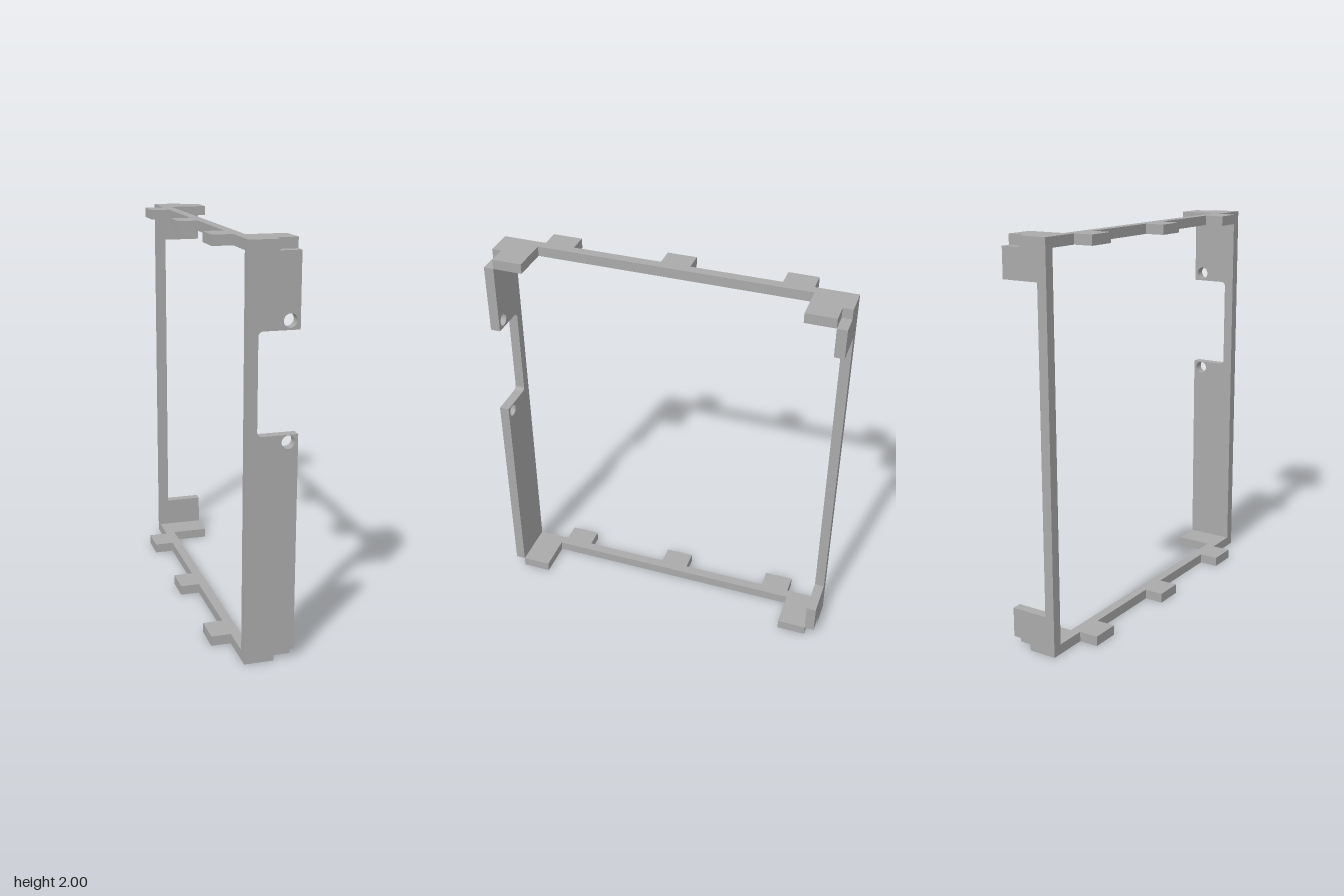
import * as THREE from 'three';

const T = 0.05;                       // sheet thickness
const X0 = -0.075, X1 = 0.17;         // depth of the frame
const RAIL = -0.025, NOTCH = 0.07;    // inner edge of thin rails, corner notch
const TAB = -0.175, Z = 0.89;

const grey = new THREE.MeshStandardMaterial({ color: 0xaaaaaa });
grey.name = 'grey';

function extrude(shape) {
  return new THREE.ExtrudeGeometry(shape, { depth: T, bevelEnabled: false, curveSegments: 16 });
}

function outline(points) {
  return new THREE.Shape(points.map(([x, y]) => new THREE.Vector2(x, y)));
}

function addMesh(group, name, geometry, y, z) {
  const mesh = new THREE.Mesh(geometry, grey);
  mesh.name = name;
  mesh.position.set(0, y, z);
  group.add(mesh);
}

// Horizontal rail with wide notched ends and three outer tabs
function railGeometry() {
  const points = [
    [X0, -Z], [NOTCH, -Z], [NOTCH, T - Z], [X1, T - Z], [X1, -0.69], [RAIL, -0.69],
    [RAIL, 0.69], [X1, 0.69], [X1, Z - T], [NOTCH, Z - T], [NOTCH, Z], [X0, Z],
  ];
  for (const [a, b] of [[0.53, 0.68], [-0.07, 0.078], [-0.67, -0.52]]) {
    points.push([X0, b], [TAB, b], [TAB, a], [X0, a]);
  }
  return extrude(outline(points)).rotateX(-Math.PI / 2);
}

// Front wall with a round-cornered cutout and two screw holes
function frontWallGeometry() {
  const low = 1.12, high = 1.6, r = 0.025;
  const s = new THREE.Shape();
  s.moveTo(X0, T);
  s.lineTo(X1, T);
  s.lineTo(X1, low);
  s.lineTo(RAIL + r, low);
  s.quadraticCurveTo(RAIL, low, RAIL, low + r);
  s.lineTo(RAIL, high - r);
  s.quadraticCurveTo(RAIL, high, RAIL + r, high);
  s.lineTo(X1, high);
  s.lineTo(X1, 2 - T);
  s.lineTo(X0, 2 - T);
  s.closePath();
  for (const y of [1.085, 1.642]) {
    s.holes.push(new THREE.Path().absarc(0.123, y, 0.032, 0, Math.PI * 2, true));
  }
  return extrude(s);
}

// Back post, thin in the middle with a flange at each end
function backPostGeometry() {
  return extrude(outline([
    [X0, T], [X1, T], [X1, 0.2], [RAIL, 0.2],
    [RAIL, 1.8], [X1, 1.8], [X1, 2 - T], [X0, 2 - T],
  ]));
}

export function createModel() {
  const group = new THREE.Group();
  group.name = 'mountingFrame';
  const rail = railGeometry();
  addMesh(group, 'bottomRail', rail, 0, 0);
  addMesh(group, 'topRail', rail, 2 - T, 0);
  addMesh(group, 'frontWall', frontWallGeometry(), 0, Z - T);
  addMesh(group, 'backPost', backPostGeometry(), 0, -Z);
  return group;
}
